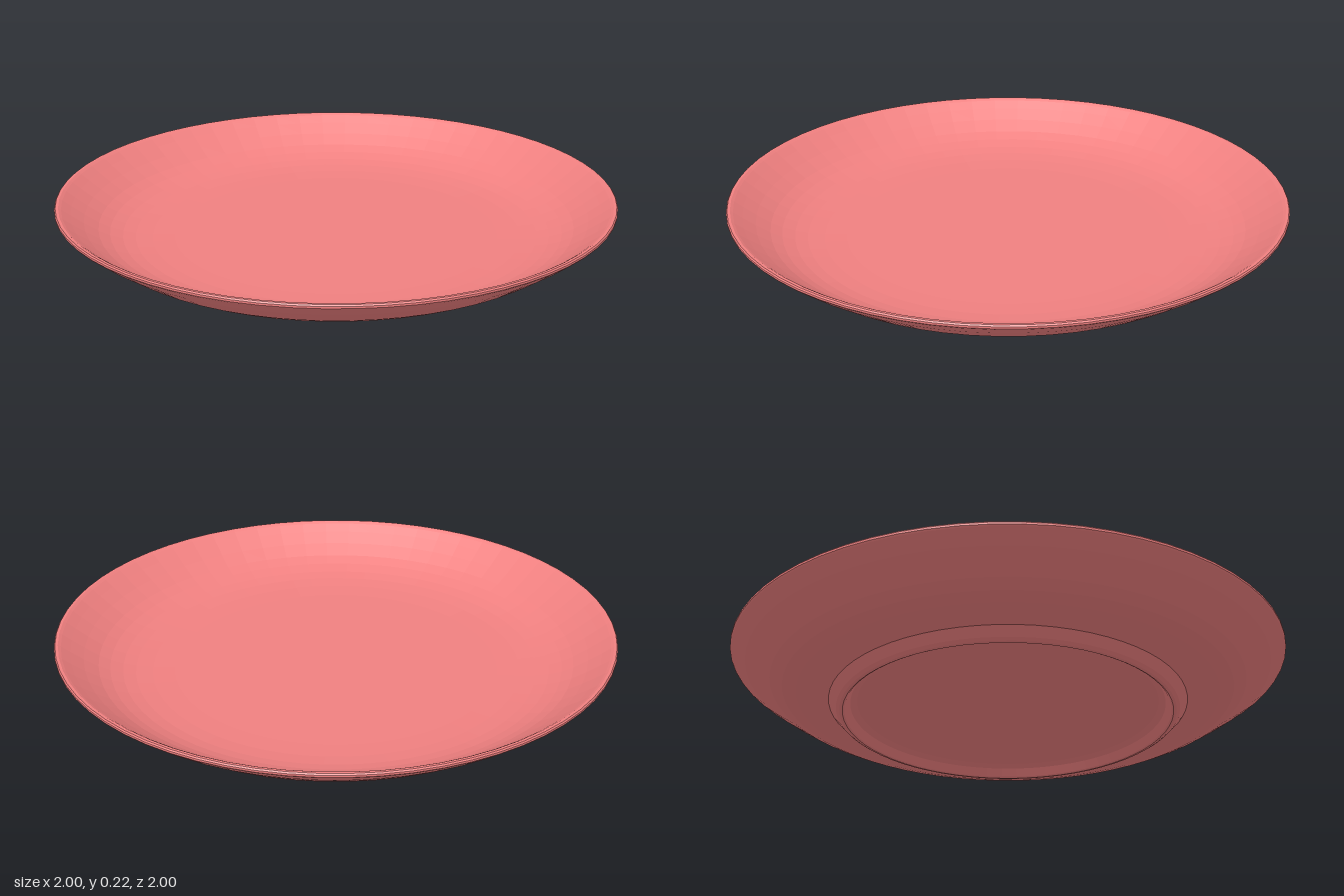
import * as THREE from 'three';

export function createModel() {
  const group = new THREE.Group();
  group.name = 'plate';
  const material = new THREE.MeshStandardMaterial({ color: 0xf08080, flatShading: true });

  // Turns a profile of [radius, height] pairs around the y axis
  const turned = (name, profile) => {
    const points = profile.map(([r, y]) => new THREE.Vector2(r, y));
    const mesh = new THREE.Mesh(new THREE.LatheGeometry(points, 64), material);
    mesh.name = name;
    group.add(mesh);
  };

  // Foot ring with a shallow recess under the plate
  turned('footRing', [
    [0, 0.04], [0.54, 0.04], [0.565, 0.03], [0.585, 0.004], [0.592, 0],
    [0.603, 0.002], [0.615, 0.01], [0.643, 0.041],
  ]);

  // Curved underside rising to the rim
  turned('underside', [
    [0.643, 0.041], [0.7, 0.05], [0.76, 0.061], [0.81, 0.077], [0.855, 0.1],
    [0.9, 0.13], [0.945, 0.161], [0.996, 0.2],
  ]);

  // Rounded lip
  turned('rim', [
    [0.996, 0.2], [1, 0.205], [1, 0.212], [0.996, 0.217], [0.986, 0.217], [0.976, 0.211],
  ]);

  // Upper surface, from the lip down to the flat centre
  turned('upperSurface', [
    [0.976, 0.211], [0.945, 0.188], [0.9, 0.156], [0.85, 0.124], [0.81, 0.105],
    [0.765, 0.09], [0.72, 0.081], [0.66, 0.075], [0.58, 0.072], [0, 0.07],
  ]);

  return group;
}
